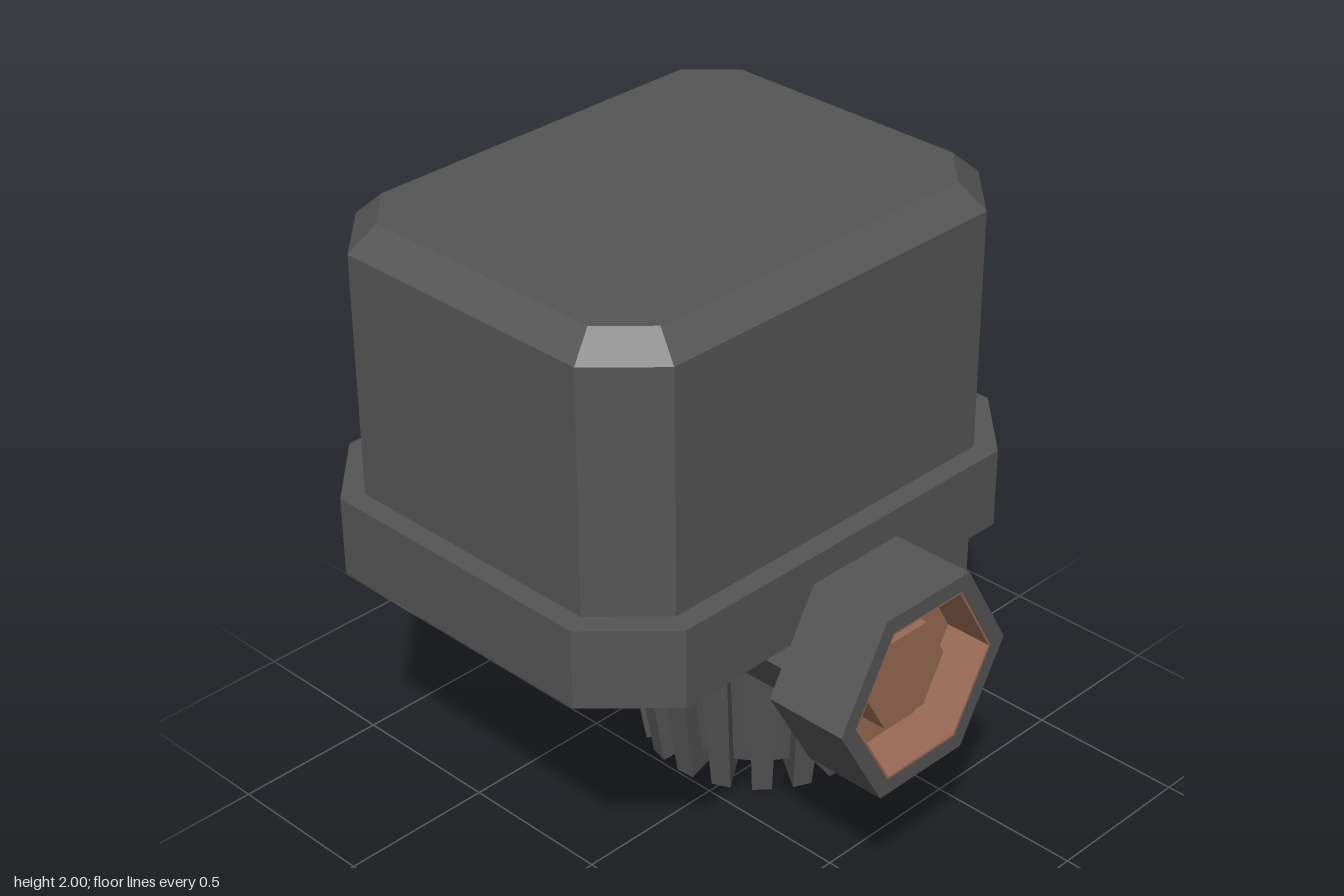
import * as THREE from 'three';
import { toCreasedNormals } from 'three/addons/utils/BufferGeometryUtils.js';
import { ConvexGeometry } from 'three/addons/geometries/ConvexGeometry.js';

const plastic = new THREE.MeshStandardMaterial({ color: 0x555555 });
plastic.name = 'dark grey plastic';
const copper = new THREE.MeshStandardMaterial({ color: 0x996a54 });
copper.name = 'copper';

const CAGE_X = 0.375, CAGE_Z = -0.147;

function add(parent, name, geometry, material = plastic) {
  const mesh = new THREE.Mesh(geometry, material);
  mesh.name = name;
  parent.add(mesh);
  return mesh;
}

// Rectangle with cut corners at height y; cx and cz are the corner cuts
function octagon(y, hx, z0, z1, cx, cz) {
  const pts = [];
  for (const s of [-1, 1]) {
    for (const [z, d] of [[z0, 1], [z1, -1]]) {
      pts.push(new THREE.Vector3(s * hx, y, z + d * cz));
      pts.push(new THREE.Vector3(s * (hx - cx), y, z));
    }
  }
  return pts;
}

// Hexagonal prism along z, with an optional hexagonal hole
function hexPrism(r, z0, z1, holeR = 0) {
  const corners = (radius) => Array.from({ length: 6 }, (_, i) =>
    new THREE.Vector2(radius * Math.cos(i * Math.PI / 3), radius * Math.sin(i * Math.PI / 3)));
  const shape = new THREE.Shape(corners(r));
  if (holeR) shape.holes.push(new THREE.Path(corners(holeR)));
  return new THREE.ExtrudeGeometry(shape, { depth: z1 - z0, bevelEnabled: false }).translate(0, 0.81, z0);
}

// Tapered fin between two parallel-sided slots, pointing along +z
function finGeometry(halfStep, slotWidth) {
  const pts = [];
  for (const [y, inner, outer] of [[0, 0.2, 0.367], [0.485, 0.36, 0.446]]) {
    for (const r of [inner, outer]) {
      const half = Math.max(r * Math.sin(halfStep) - slotWidth / 2, 0.003);
      for (const s of [-1, 1]) pts.push(new THREE.Vector3(s * half, y, r * Math.cos(half / r)));
    }
  }
  return new ConvexGeometry(pts);
}

export function createModel() {
  const model = new THREE.Group();
  model.name = 'pressure switch';

  // Cover with bevelled top, and the flange it sits on
  add(model, 'cover', new ConvexGeometry([
    ...octagon(1.17, 0.788, -0.765, 0.472, 0.178, 0.178),
    ...octagon(1.925, 0.788, -0.765, 0.472, 0.178, 0.178),
    ...octagon(2, 0.708, -0.687, 0.392, 0.13, 0.13),
  ]));
  add(model, 'flange', new ConvexGeometry([
    ...octagon(0.92, 0.853, -0.832, 0.538, 0.213, 0.215),
    ...octagon(1.17, 0.853, -0.832, 0.538, 0.213, 0.215),
  ]));

  // Half-width base block, with cut corners on the outer side only
  const block = [];
  for (const y of [0.69, 0.92]) {
    for (const [x, z] of [[-0.03, -0.765], [0.61, -0.765], [0.785, -0.585],
      [0.785, 0.297], [0.61, 0.472], [-0.03, 0.472]]) block.push(new THREE.Vector3(x, y, z));
  }
  add(model, 'baseBlock', new ConvexGeometry(block));

  // Round collar bulging through the block
  add(model, 'collar', new THREE.CylinderGeometry(0.47, 0.47, 0.229, 48))
    .position.set(CAGE_X, 0.8055, CAGE_Z);

  // Slotted cone: core, upper band and neck in one profile, plus fins
  const cage = new THREE.Group();
  cage.name = 'slottedCone';
  cage.position.set(CAGE_X, 0, CAGE_Z);
  model.add(cage);
  const profile = [[0, 0.001], [0.21, 0.001], [0.31, 0.07], [0.385, 0.48], [0.446, 0.48],
    [0.47, 0.63], [0.41, 0.645], [0.41, 0.7]].map(([r, y]) => new THREE.Vector2(r, y));
  add(cage, 'coneBody', toCreasedNormals(new THREE.LatheGeometry(profile, 54), 0.4));
  const count = 18, step = Math.PI * 2 / count;
  const fin = finGeometry(step / 2, 0.066);
  for (let i = 0; i < count; i++) {
    add(cage, 'fin', fin).rotation.y = THREE.MathUtils.degToRad(5) + (i + 0.5) * step;
  }

  // Hexagonal pipe fitting with a copper socket
  const fitting = new THREE.Group();
  fitting.name = 'hexFitting';
  model.add(fitting);
  add(fitting, 'stem', hexPrism(0.215, 0.2, 0.57));
  add(fitting, 'nutShell', hexPrism(0.342, 0.565, 0.83, 0.284));
  add(fitting, 'nutBack', hexPrism(0.285, 0.565, 0.6));
  add(fitting, 'socketLining', hexPrism(0.285, 0.6, 0.829, 0.276), copper);
  add(fitting, 'socketFloor', hexPrism(0.28, 0.6, 0.68), copper);
  add(fitting, 'socketBoss', hexPrism(0.162, 0.68, 0.76), copper);

  return model;
}
